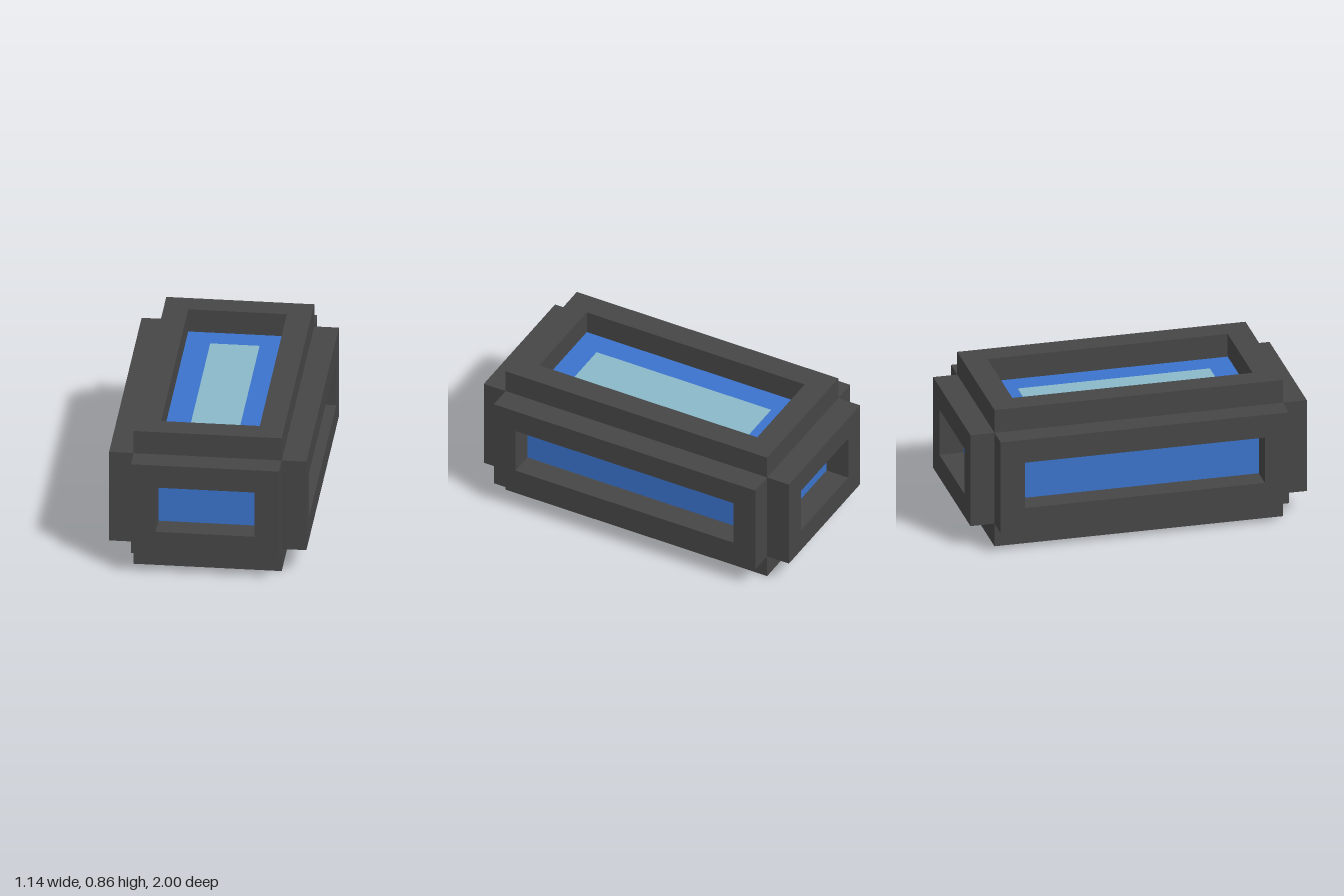
import * as THREE from 'three';

const U = 1 / 7; // block unit: the model is 14 units long

// Flat rectangular ring, one unit wide and one unit deep, extruded along +z
function frameGeometry(w, h) {
  const rect = (path, a, b) => path
    .moveTo(-a, -b).lineTo(a, -b).lineTo(a, b).lineTo(-a, b).closePath();
  const shape = new THREE.Shape();
  rect(shape, w / 2, h / 2);
  const hole = new THREE.Path();
  rect(hole, w / 2 - U, h / 2 - U);
  shape.holes.push(hole);
  return new THREE.ExtrudeGeometry(shape, { depth: U, bevelEnabled: false });
}

export function createModel() {
  const frameGray = new THREE.MeshStandardMaterial({ color: 0x464646 });
  const coreBlue = new THREE.MeshStandardMaterial({ color: 0x3b73cc });
  const paneTeal = new THREE.MeshStandardMaterial({ color: 0x8ab8c9 });

  const group = new THREE.Group();
  const W = 6 * U, H = 4 * U, L = 12 * U, midY = 3 * U;

  const add = (name, geometry, material, x = 0, y = 0, z = 0) => {
    const mesh = new THREE.Mesh(geometry, material);
    mesh.name = name;
    mesh.position.set(x, midY + y, z);
    group.add(mesh);
    return mesh;
  };

  // Inner block, seen through the openings
  add('core', new THREE.BoxGeometry(W, H, L), coreBlue);

  // One frame standing on each face of the core
  const endFrame = frameGeometry(W, H);
  const sideFrame = frameGeometry(L, H);
  const flatFrame = frameGeometry(W, L);
  add('frontFrame', endFrame, frameGray, 0, 0, L / 2);
  add('backFrame', endFrame, frameGray, 0, 0, -L / 2).rotation.y = Math.PI;
  for (const s of [1, -1]) {
    add(s > 0 ? 'leftFrame' : 'rightFrame', sideFrame, frameGray, s * W / 2)
      .rotation.y = s * Math.PI / 2;
    add(s > 0 ? 'topFrame' : 'bottomFrame', flatFrame, frameGray, 0, s * H / 2)
      .rotation.x = -s * Math.PI / 2;
    // Pale pane lying in the top and bottom openings
    add(s > 0 ? 'topPane' : 'bottomPane', new THREE.BoxGeometry(2 * U, 0.004, 8 * U),
      paneTeal, 0, s * (H / 2 + 0.001));
  }
  return group;
}
